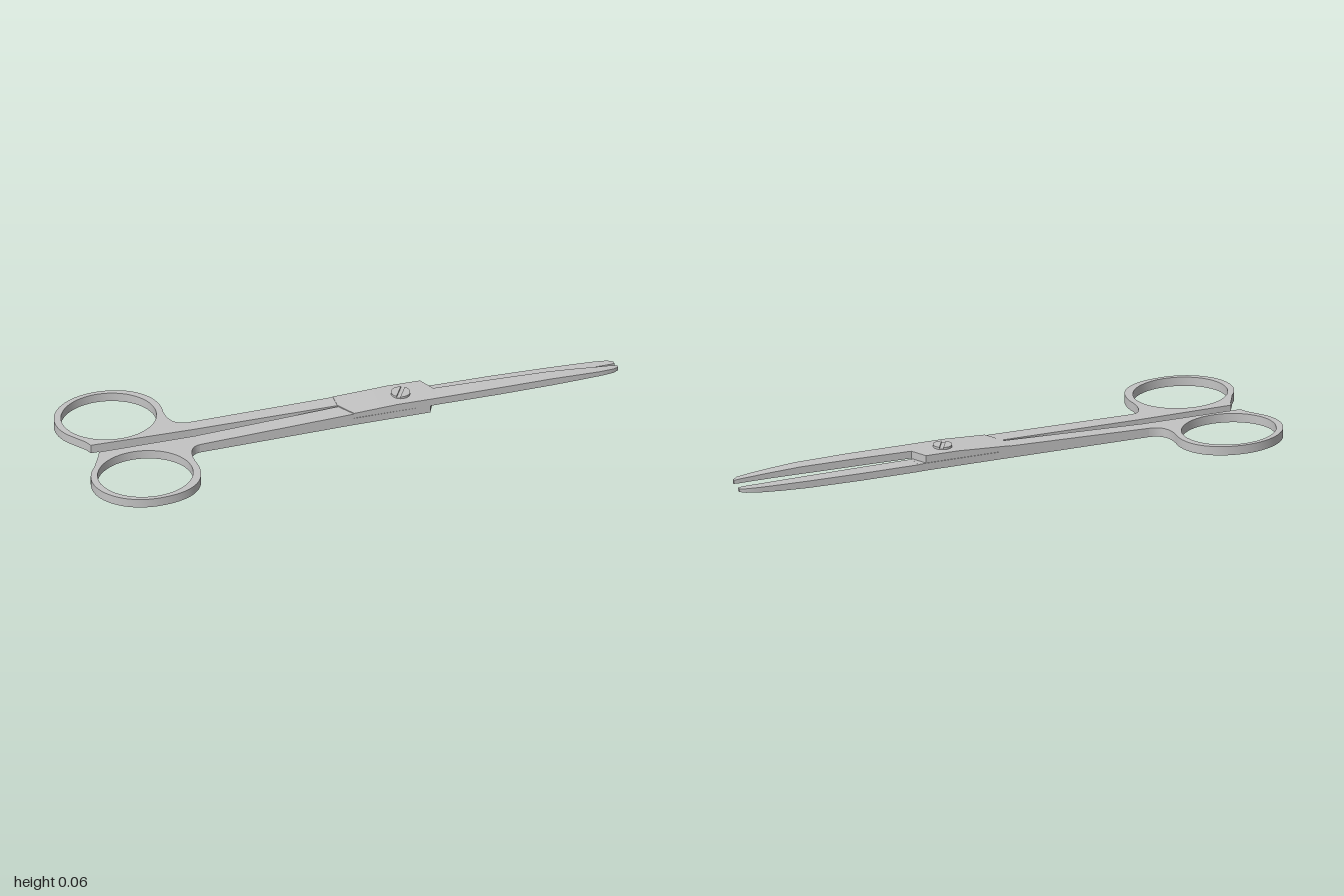
import * as THREE from 'three';
import { toCreasedNormals } from 'three/addons/utils/BufferGeometryUtils.js';

const steel = new THREE.MeshStandardMaterial({ color: 0xc4c4c4 });
steel.name = 'steel';

function part(name, geometry) {
  const mesh = new THREE.Mesh(toCreasedNormals(geometry, 0.5), steel);
  mesh.name = name;
  return mesh;
}

// Flat plate from [x, z] outlines, standing between two heights (top may vary along x)
function plate(name, outline, y0, top, hole) {
  const path = (pts) => pts.map(([x, z]) => new THREE.Vector2(x, -z));
  const shape = new THREE.Shape(path(outline));
  if (hole) shape.holes.push(new THREE.Path(path(hole)));
  const geo = new THREE.ExtrudeGeometry(shape, { depth: 1, bevelEnabled: false });
  geo.rotateX(-Math.PI / 2);
  const p = geo.attributes.position;
  for (let i = 0; i < p.count; i++) p.setY(i, p.getY(i) > 0.5 ? top(p.getX(i)) : y0);
  return part(name, geo);
}

// Tapered bar through rectangular sections [x, zBack, zFront, yBottom, yTop]
function bar(name, rows) {
  const n = rows.length - 1;
  const geo = new THREE.BoxGeometry(1, 1, 1, n, 1, 1);
  const p = geo.attributes.position;
  for (let i = 0; i < p.count; i++) {
    const [x, z0, z1, y0, y1] = rows[Math.round((p.getX(i) + 0.5) * n)];
    p.setXYZ(i, x, p.getY(i) > 0 ? y1 : y0, p.getZ(i) > 0 ? z1 : z0);
  }
  return part(name, geo);
}

// Ellipse arc in degrees; bulge swells the first quadrant
function ellipse(cx, cz, rx, rz, a0, a1, steps, bulge = 0) {
  const pts = [];
  for (let i = 0; i <= steps; i++) {
    const a = THREE.MathUtils.degToRad(a0 + (a1 - a0) * i / steps);
    const c = Math.cos(a), s = Math.sin(a);
    const k = 1 + bulge * (c > 0 && s > 0 ? 4 * c * c * s * s : 0);
    pts.push([cx + k * rx * c, cz + k * rz * s]);
  }
  return pts;
}

// Finger ring with a flat inner edge and a fillet into the shank; side is +1 front, -1 back
function fingerRing(name, side, cx, inner, shankIn, shankOut, bulge) {
  const flip = (pts) => pts.map(([x, w]) => [x, side * w]);
  const arc = ellipse(cx, 0.2, 0.195, 0.164, -10, 215, 44, bulge);
  const [ax, aw] = arc[0];
  const fillet = new THREE.QuadraticBezierCurve(
    new THREE.Vector2(-0.55, shankOut), new THREE.Vector2(ax - 0.004, shankOut + 0.004),
    new THREE.Vector2(ax, aw)).getPoints(8).slice(0, -1).map((v) => [v.x, v.y]);
  const outline = [[cx - 0.115, inner], [-0.55, shankIn], ...fillet, ...arc, [cx - 0.125, inner + 0.025]];
  // the hole runs the same way round on both sides, so its wall faces inwards
  const hole = ellipse(cx, 0.198, 0.17, 0.15, 0, -352.5 * side, 47);
  return plate(name, flip(outline), 0, () => 0.033, flip(hole));
}

const shankTop = (x) => 0.033 + 0.024 * Math.max(0, x + 0.55) / 1.1;
const jointTop = (x) => 0.046 + 0.01 * Math.min(1, Math.max(0, (x + 0.02) / 0.2));

export function createModel() {
  const root = new THREE.Group();
  root.name = 'scissors';

  // Upper half: back ring and shank, crossing over to the front blade
  const upper = new THREE.Group();
  upper.name = 'upperHalf';
  upper.add(
    fingerRing('backRing', -1, -0.805, 0.035, 0.03, 0.08, 0.02),
    plate('backShank', [[-0.55, -0.03], [-0.02, -0.015], [0.02, -0.073], [-0.55, -0.08]], 0, shankTop),
    plate('upperJoint', [[-0.02, -0.015], [0.02, 0.056], [0.18, 0.056], [0.33, 0.057], [0.33, -0.01],
      [0.3, -0.071], [0.18, -0.072], [-0.02, -0.074]], 0.0285, jointTop),
    bar('frontBlade', [
      [0.33, -0.01, 0.057, 0.029, 0.056],
      [0.55, -0.003, 0.057, 0.029, 0.057],
      [0.75, 0.003, 0.053, 0.029, 0.056],
      [0.85, 0.006, 0.048, 0.029, 0.051],
      [0.93, 0.009, 0.042, 0.028, 0.046],
      [0.98, 0.01, 0.034, 0.027, 0.043],
      [1.0, 0.012, 0.022, 0.027, 0.04],
    ]));

  // Lower half: front ring and shank, crossing under to the back blade
  const lower = new THREE.Group();
  lower.name = 'lowerHalf';
  lower.add(
    fingerRing('frontRing', 1, -0.79, 0.015, 0.012, 0.071, 0.05),
    plate('frontShank', [[-0.55, 0.012], [-0.55, 0.071], [0.02, 0.056], [-0.02, -0.008]], 0, shankTop),
    plate('lowerJoint', [[-0.02, -0.01], [-0.02, 0.057], [0.02, 0.056], [0.3, 0.055], [0.33, -0.012],
      [0.33, -0.072], [0.3, -0.071], [0.02, -0.073]], 0, () => 0.0275),
    bar('backBlade', [
      [0.33, -0.073, -0.012, 0, 0.027],
      [0.55, -0.072, -0.014, 0, 0.027],
      [0.75, -0.066, -0.017, 0.001, 0.027],
      [0.85, -0.061, -0.019, 0.004, 0.027],
      [0.93, -0.056, -0.021, 0.008, 0.027],
      [0.98, -0.049, -0.022, 0.012, 0.027],
      [1.0, -0.038, -0.025, 0.014, 0.026],
    ]));

  // Slotted pivot screw: a low disc carrying two half heads
  const screw = new THREE.Group();
  screw.name = 'pivotScrew';
  const disc = part('screwBase', new THREE.CylinderGeometry(0.034, 0.034, 0.014, 32));
  disc.position.y = 0.051;
  screw.add(disc);
  for (const start of [12, 192]) {
    screw.add(plate('screwHalf', ellipse(0, 0, 0.034, 0.034, start, start + 156, 18), 0.057, () => 0.064));
  }
  screw.position.set(0.21, 0, -0.009);
  screw.rotation.y = Math.PI / 3;

  root.add(upper, lower, screw);
  return root;
}
